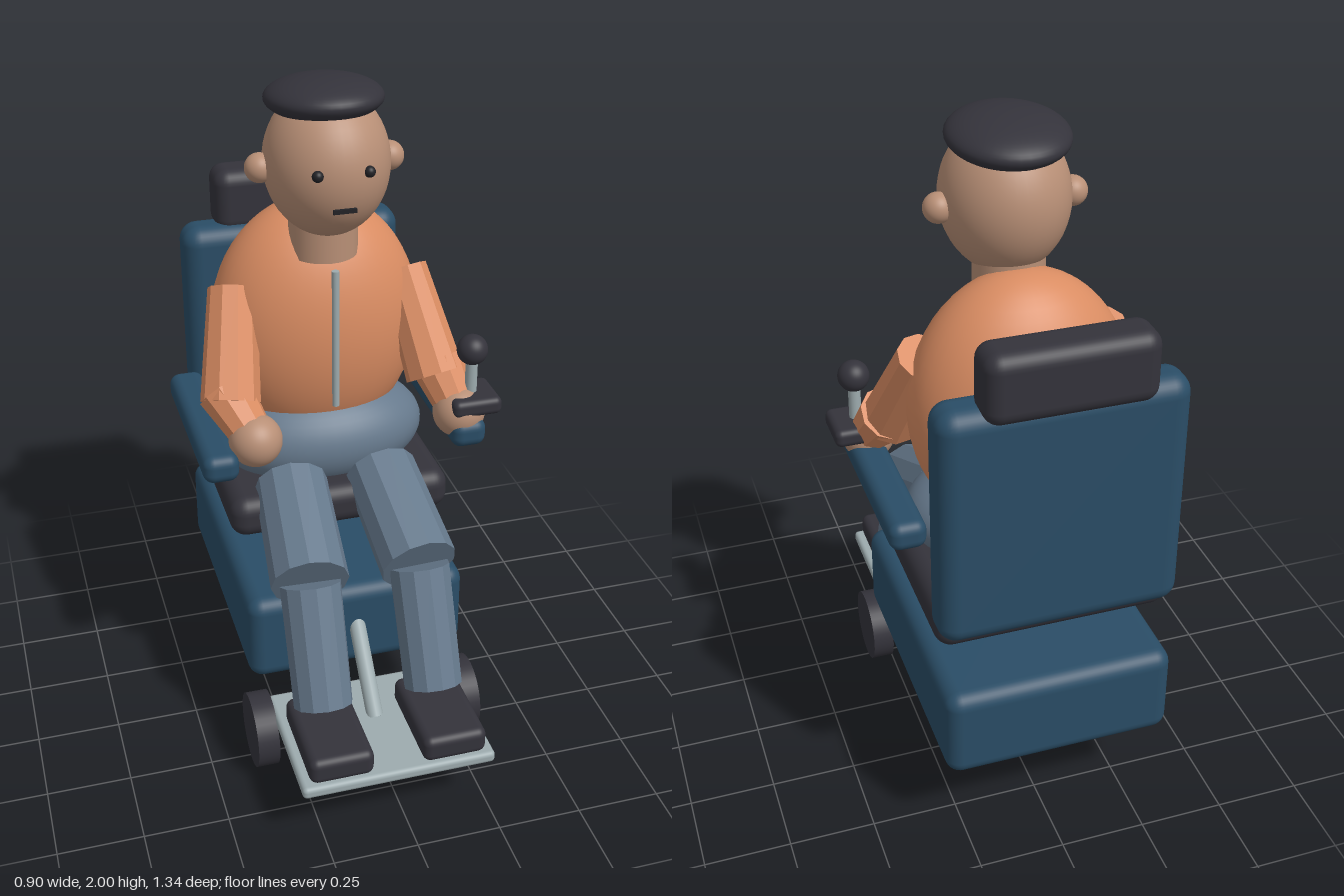
import * as THREE from 'three';
import { RoundedBoxGeometry } from 'three/addons/geometries/RoundedBoxGeometry.js';

const CX = -0.027; // mirror plane of the chair and the sitter

function material(name, color, flatShading = false) {
  const m = new THREE.MeshStandardMaterial({ color, flatShading });
  m.name = name;
  return m;
}

export function createModel() {
  const group = new THREE.Group();
  group.name = 'seatedManInPowerChair';

  const blue = material('chairBlue', 0x2a4d66);
  const dark = material('charcoal', 0x34333b);
  const metal = material('paleMetal', 0x9dabae);
  const orange = material('jacketOrange', 0xd98c62);
  const skin = material('skin', 0xb88f76);
  const denim = material('trouserBlue', 0x66798c);
  const black = material('faceBlack', 0x222226);
  orange.flatShading = denim.flatShading = false;

  function add(name, geometry, mat, x = 0, y = 0, z = 0) {
    const mesh = new THREE.Mesh(geometry, mat);
    mesh.name = name;
    mesh.position.set(x, y, z);
    group.add(mesh);
    return mesh;
  }

  // Rounded box given by its extents
  function box(name, mat, [x0, x1], [y0, y1], [z0, z1], radius) {
    const geo = new RoundedBoxGeometry(x1 - x0, y1 - y0, z1 - z0, 4, radius);
    return add(name, geo, mat, (x0 + x1) / 2, (y0 + y1) / 2, (z0 + z1) / 2);
  }

  function ball(name, mat, x, y, z, rx, ry = rx, rz = rx) {
    const mesh = add(name, new THREE.SphereGeometry(1, 40, 28), mat, x, y, z);
    mesh.scale.set(rx, ry, rz);
    return mesh;
  }

  // Tapered cylinder between two points; limbs get faceted sides
  function limb(name, mat, from, to, r0, r1, sides = 12, faceted = true) {
    const a = new THREE.Vector3(...from), b = new THREE.Vector3(...to);
    const dir = b.clone().sub(a);
    let geo = new THREE.CylinderGeometry(r1, r0, dir.length(), sides);
    if (faceted) {
      geo = geo.toNonIndexed();
      geo.computeVertexNormals();
    }
    const mesh = add(name, geo, mat);
    mesh.position.copy(a).add(b).multiplyScalar(0.5);
    mesh.quaternion.setFromUnitVectors(new THREE.Vector3(0, 1, 0), dir.normalize());
    return mesh;
  }

  // Chair body
  box('base', blue, [-0.36, 0.31], [0.26, 0.54], [-0.65, 0.225], 0.045);
  box('seatCushion', dark, [-0.365, 0.315], [0.66, 0.79], [-0.58, 0.06], 0.05);
  box('backrest', blue, [-0.37, 0.32], [0.715, 1.43], [-0.635, -0.495], 0.055);
  box('headrest', dark, [-0.26, 0.207], [1.395, 1.595], [-0.67, -0.53], 0.045);

  // Footplate and its strut
  box('footplate', metal, [-0.315, 0.26], [0.175, 0.212], [0.235, 0.667], 0.014);
  limb('footplateStrut', metal, [CX, 0.2, 0.41], [CX, 0.43, 0.19], 0.025, 0.025, 20, false);

  // Joystick on the left armrest
  box('joystickBox', dark, [0.295, 0.447], [1.01, 1.065], [-0.03, 0.125], 0.02);
  limb('joystickStick', metal, [0.37, 1.05, 0.05], [0.37, 1.18, 0.05], 0.018, 0.018, 20, false);
  ball('joystickKnob', dark, 0.37, 1.2, 0.05, 0.046);

  // Torso, hips and zip
  ball('torso', orange, CX, 1.22, -0.25, 0.318, 0.39, 0.228);
  ball('hips', denim, CX, 0.87, -0.215, 0.325, 0.17, 0.215);
  limb('zip', metal, [CX, 1.04, -0.015], [CX, 1.47, -0.015], 0.011, 0.011, 12, false);

  // Head
  limb('neck', skin, [CX, 1.48, -0.145], [CX, 1.62, -0.145], 0.1, 0.1, 32, false);
  ball('head', skin, CX, 1.765, -0.106, 0.178, 0.21, 0.194);
  ball('hair', dark, CX, 1.94, -0.13, 0.166, 0.06, 0.18).rotation.x = -0.08;
  add('mouth', new THREE.BoxGeometry(0.066, 0.012, 0.009), black, CX, 1.686, 0.083);

  // Paired parts: s = 1 is the model's left
  for (const s of [1, -1]) {
    const side = s > 0 ? 'left' : 'right';
    const px = (d) => CX + s * d;

    box(side + 'Armrest', blue, [px(0.374) - 0.053, px(0.374) + 0.053],
      [0.912, 0.998], [-0.44, 0.132], 0.032);
    const wheel = add(side + 'Wheel', new THREE.CylinderGeometry(0.113, 0.113, 0.065, 40),
      dark, px(0.318), 0.113, 0.265);
    wheel.rotation.z = Math.PI / 2;

    ball(side + 'Ear', skin, px(0.187), 1.757, -0.12, 0.042);
    ball(side + 'Eye', black, px(0.072), 1.787, 0.072, 0.016);

    // Arms: the left hand rests under the joystick, the right one on the lap side
    const elbow = [px(0.312), 1.09, -0.03];
    const hand = s > 0 ? [0.335, 1.0, 0.05] : [-0.288, 1.005, 0.06];
    limb(side + 'UpperArm', orange, [px(0.26), 1.37, -0.2], elbow, 0.072, 0.088, 10);
    limb(side + 'Forearm', orange, [px(0.325), 1.12, -0.05], hand, 0.082, 0.06, 10);
    ball(side + 'Hand', skin, ...hand, 0.078);

    // Legs
    const knee = [px(0.165), 0.645, 0.295];
    limb(side + 'Thigh', denim, [px(0.14), 0.79, -0.02], knee, 0.11, 0.115);
    limb(side + 'Shin', denim, knee, [px(0.168), 0.315, 0.44], 0.09, 0.087);
    box(side + 'Shoe', dark, [px(0.168) - 0.095, px(0.168) + 0.095],
      [0.208, 0.29], [0.35, 0.655], 0.025);
  }

  return group;
}
